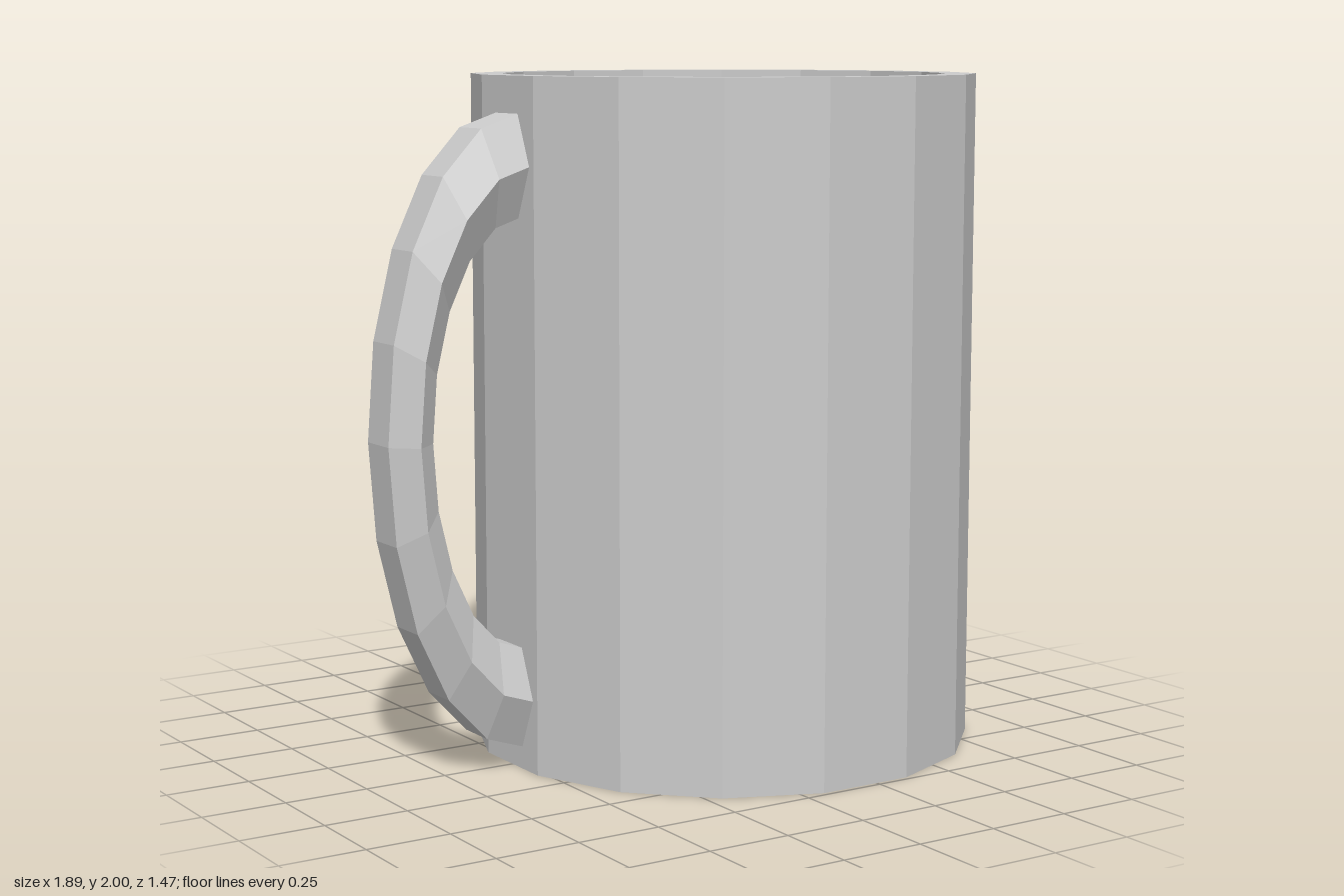
import * as THREE from 'three';

const SIDES = 16;
const BODY_X = 0.21;

export function createModel() {
  const model = new THREE.Group();
  model.name = 'mug';
  const material = new THREE.MeshStandardMaterial({ color: 0xcccccc, flatShading: true });

  const add = (name, geometry, x, y, z) => {
    const mesh = new THREE.Mesh(geometry, material);
    mesh.name = name;
    mesh.position.set(x, y, z);
    model.add(mesh);
  };
  const points = (list) => list.map(([r, y]) => new THREE.Vector2(r, y));

  // Cup: base, outer wall, flat rim, inner wall and floor
  const cupProfile = points([[0, 0], [0.75, 0], [0.75, 2], [0.66, 2], [0.66, 0.1], [0, 0.1]]);
  add('cup', new THREE.LatheGeometry(cupProfile, SIDES, Math.PI / SIDES), BODY_X, 0, 0);

  // Drink: flat surface filling the cup just below the rim
  const drinkProfile = points([[0.66, 1.78], [0, 1.78]]);
  add('drink', new THREE.LatheGeometry(drinkProfile, SIDES, Math.PI / SIDES), BODY_X, 0, 0);

  // Handle: hexagonal section swept round half a ring, then squeezed to an ellipse
  const section = points([
    [1.19, -0.063], [1.19, 0.063], [1, 0.126], [0.81, 0.063],
    [0.81, -0.063], [1, -0.126], [1.19, -0.063],
  ]);
  const handle = new THREE.LatheGeometry(section, 10, Math.PI, Math.PI);
  handle.rotateX(-Math.PI / 2);
  handle.scale(0.368, 0.773, 1);
  add('handle', handle, -0.507, 0.98, -0.004);

  return model;
}
